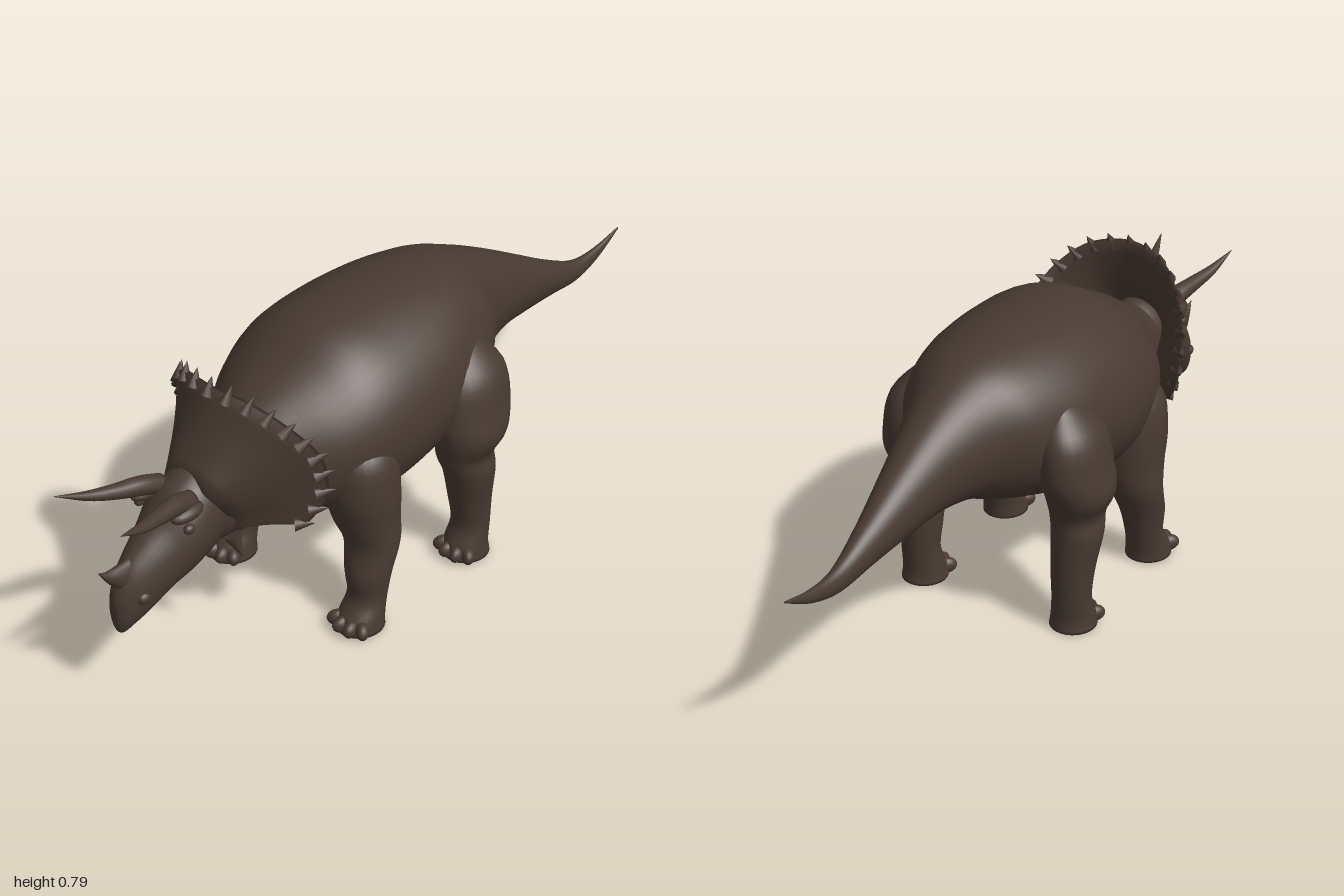
import * as THREE from 'three';

const V = (x, y, z) => new THREE.Vector3(x, y, z);

// Skin a list of closed rings and cap both ends
function skin(rings) {
  const n = rings[0].length, pos = [], idx = [];
  rings.forEach(r => r.forEach(p => pos.push(p.x, p.y, p.z)));
  for (let i = 0; i < rings.length - 1; i++) {
    for (let j = 0; j < n; j++) {
      const a = i * n + j, b = i * n + (j + 1) % n;
      idx.push(a, b, a + n, b, b + n, a + n);
    }
  }
  [0, rings.length - 1].forEach((row, end) => {
    const c = rings[row].reduce((s, p) => s.add(p), V(0, 0, 0)).divideScalar(n);
    const ci = pos.length / 3;
    pos.push(c.x, c.y, c.z);
    for (let j = 0; j < n; j++) {
      const a = row * n + j, b = row * n + (j + 1) % n;
      if (end) idx.push(ci, a, b); else idx.push(ci, b, a);
    }
  });
  const g = new THREE.BufferGeometry();
  g.setAttribute('position', new THREE.Float32BufferAttribute(pos, 3));
  g.setIndex(idx);
  g.computeVertexNormals();
  return g;
}

// Smooth loft through elliptical sections [x, y, z, radiusA, radiusB]
// upright: rings lie in xz and run downward; otherwise rings lie in xy and run toward +z
function loft(sections, upright = false, sides = 28, steps = 5) {
  const centre = new THREE.CatmullRomCurve3(sections.map(s => V(s[0], s[1], s[2])), false, 'catmullrom', 0.5);
  const radii = new THREE.CatmullRomCurve3(sections.map(s => V(s[3], s[4], 0)), false, 'catmullrom', 0.5);
  const rings = [], count = (sections.length - 1) * steps;
  for (let i = 0; i <= count; i++) {
    const c = centre.getPoint(i / count), r = radii.getPoint(i / count), ring = [];
    for (let j = 0; j < sides; j++) {
      const a = j / sides * Math.PI * 2;
      const u = Math.cos(a) * Math.max(r.x, 0.001), v = Math.sin(a) * Math.max(r.y, 0.001);
      ring.push(upright ? V(c.x + u, c.y, c.z + v) : V(c.x + u, c.y + v, c.z));
    }
    rings.push(ring);
  }
  return skin(rings);
}

// Centre-line section from [z, bottom, top, halfWidth]
const profile = rows => rows.map(([z, b, t, w]) => [0, (b + t) / 2, z, w, (t - b) / 2]);

export function createModel() {
  const model = new THREE.Group();
  model.name = 'hornedDinosaur';
  const hide = new THREE.MeshStandardMaterial({ color: 0x483a31 });
  hide.name = 'darkBrownHide';

  const add = (name, geometry, parent = model) => {
    const m = new THREE.Mesh(geometry, hide);
    m.name = name;
    parent.add(m);
    return m;
  };
  const ball = (name, p, s, parent) => {
    const m = add(name, new THREE.SphereGeometry(1, 16, 12), parent);
    m.position.set(...p);
    m.scale.set(...s);
    return m;
  };
  const spike = (name, p, dir, r, h, parent) => {
    const m = add(name, new THREE.ConeGeometry(r, h, 10), parent);
    m.position.copy(p);
    m.quaternion.setFromUnitVectors(V(0, 1, 0), dir.clone().normalize());
    return m;
  };

  // Tail, trunk and neck
  add('body', loft(profile([
    [-1, 0.488, 0.494, 0.002], [-0.9, 0.435, 0.472, 0.012], [-0.8, 0.41, 0.475, 0.022],
    [-0.68, 0.42, 0.53, 0.04], [-0.55, 0.43, 0.605, 0.065], [-0.42, 0.435, 0.68, 0.095],
    [-0.3, 0.415, 0.74, 0.14], [-0.2, 0.37, 0.775, 0.205], [-0.05, 0.315, 0.79, 0.26],
    [0.12, 0.28, 0.79, 0.278], [0.25, 0.27, 0.775, 0.268], [0.36, 0.295, 0.72, 0.23],
    [0.46, 0.32, 0.665, 0.165], [0.56, 0.33, 0.6, 0.105], [0.66, 0.34, 0.55, 0.08],
  ]), false, 48));

  // Head with a hooked beak
  add('head', loft(profile([
    [0.58, 0.36, 0.56, 0.06], [0.66, 0.33, 0.575, 0.088], [0.74, 0.305, 0.545, 0.093],
    [0.8, 0.285, 0.485, 0.077], [0.86, 0.25, 0.44, 0.06], [0.9, 0.232, 0.405, 0.046],
    [0.93, 0.222, 0.36, 0.03], [0.943, 0.25, 0.32, 0.012],
  ]), false, 32));
  add('noseHorn', loft([
    [0, 0.37, 0.87, 0.022, 0.05], [0, 0.382, 0.92, 0.02, 0.035],
    [0, 0.402, 0.955, 0.011, 0.017], [0, 0.43, 0.982, 0.001, 0.001],
  ], false, 16));

  // Neck frill, a thin swept plate from the skull to the rim
  const half = (pts) => new THREE.CatmullRomCurve3([
    ...pts.slice(1).reverse().map(p => V(...p)), ...pts.map(([x, y, z]) => V(-x, y, z)),
  ]);
  const rim = half([[0, 0.765, 0.605], [0.11, 0.745, 0.578], [0.185, 0.685, 0.53], [0.228, 0.61, 0.483],
    [0.235, 0.53, 0.462], [0.228, 0.46, 0.465], [0.195, 0.395, 0.495]]);
  const root = half([[0, 0.55, 0.7], [0.05, 0.54, 0.7], [0.075, 0.52, 0.69], [0.085, 0.49, 0.67],
    [0.085, 0.46, 0.65], [0.08, 0.43, 0.63], [0.07, 0.39, 0.62]]);
  const rings = [], slices = 72, rows = 6;
  for (let i = 0; i <= slices; i++) {
    const a = root.getPoint(i / slices), b = rim.getPoint(i / slices), front = [], back = [];
    for (let k = 0; k <= rows; k++) {
      const t = k / rows, p = a.clone().lerp(b, t);
      p.z -= 0.012 * Math.sin(t * Math.PI);
      front.push(p);
      back.unshift(p.clone().add(V(0, -0.004, -0.035 + 0.02 * t)));
    }
    rings.push([...front, ...back]);
  }
  add('frill', skin(rings));

  // Pointed bumps around the frill rim
  const bumps = new THREE.Group();
  bumps.name = 'frillSpikes';
  model.add(bumps);
  for (let i = 0; i < 21; i++) {
    const u = i / 20, t = rim.getUtoTmapping(u), p = rim.getPoint(t);
    const dir = p.clone().sub(root.getPoint(t)).normalize();
    p.z -= 0.006;
    spike('frillSpike', p, dir, 0.018, 0.05, bumps);
  }

  // Paired parts
  for (const s of [1, -1]) {
    const side = s > 0 ? 'left' : 'right';
    const mirror = list => list.map(([x, ...rest]) => [x * s, ...rest]);

    add(side + 'BrowHorn', loft(mirror([
      [0.05, 0.525, 0.72, 0.026, 0.026], [0.058, 0.545, 0.78, 0.026, 0.026], [0.073, 0.558, 0.85, 0.021, 0.02],
      [0.092, 0.575, 0.92, 0.014, 0.013], [0.112, 0.608, 1, 0.001, 0.001],
    ]), false, 16));
    ball(side + 'BrowRidge', [s * 0.068, 0.515, 0.755], [0.026, 0.02, 0.05]);
    ball(side + 'Eye', [s * 0.084, 0.48, 0.765], [0.012, 0.013, 0.016]);
    ball(side + 'Nostril', [s * 0.045, 0.325, 0.885], [0.014, 0.016, 0.02]);
    spike(side + 'CheekSpike', V(s * 0.09, 0.345, 0.615), V(s * 0.5, -1, -0.1), 0.024, 0.065);

    add(side + 'FrontLeg', loft(mirror([
      [0.18, 0.57, 0.27, 0.02, 0.03], [0.195, 0.5, 0.28, 0.075, 0.085], [0.195, 0.4, 0.28, 0.09, 0.098],
      [0.195, 0.31, 0.272, 0.09, 0.085], [0.212, 0.24, 0.268, 0.076, 0.068], [0.222, 0.16, 0.292, 0.062, 0.06],
      [0.225, 0.09, 0.3, 0.053, 0.05], [0.226, 0.04, 0.322, 0.058, 0.062], [0.226, 0.004, 0.328, 0.062, 0.066],
    ]), true));
    add(side + 'HindLeg', loft(mirror([
      [0.2, 0.65, -0.09, 0.02, 0.04], [0.22, 0.57, -0.09, 0.074, 0.105], [0.232, 0.47, -0.085, 0.085, 0.12],
      [0.24, 0.4, -0.077, 0.086, 0.105], [0.23, 0.335, -0.07, 0.068, 0.085], [0.235, 0.28, -0.08, 0.067, 0.072],
      [0.23, 0.18, -0.092, 0.058, 0.058], [0.23, 0.1, -0.097, 0.053, 0.05], [0.228, 0.04, -0.083, 0.058, 0.06],
      [0.228, 0.004, -0.083, 0.062, 0.065],
    ]), true));

    // Toes fan out around the front of each foot
    for (const [name, z] of [['FrontToe', 0.328], ['HindToe', -0.083]]) {
      for (let k = -1.5; k <= 1.5; k++) {
        const a = k * 0.5;
        const toe = ball(side + name, [s * 0.227 + Math.sin(a) * 0.06, 0.024, z + Math.cos(a) * 0.052],
          [0.018, 0.023, 0.03]);
        toe.rotation.y = a;
      }
    }
  }
  return model;
}
